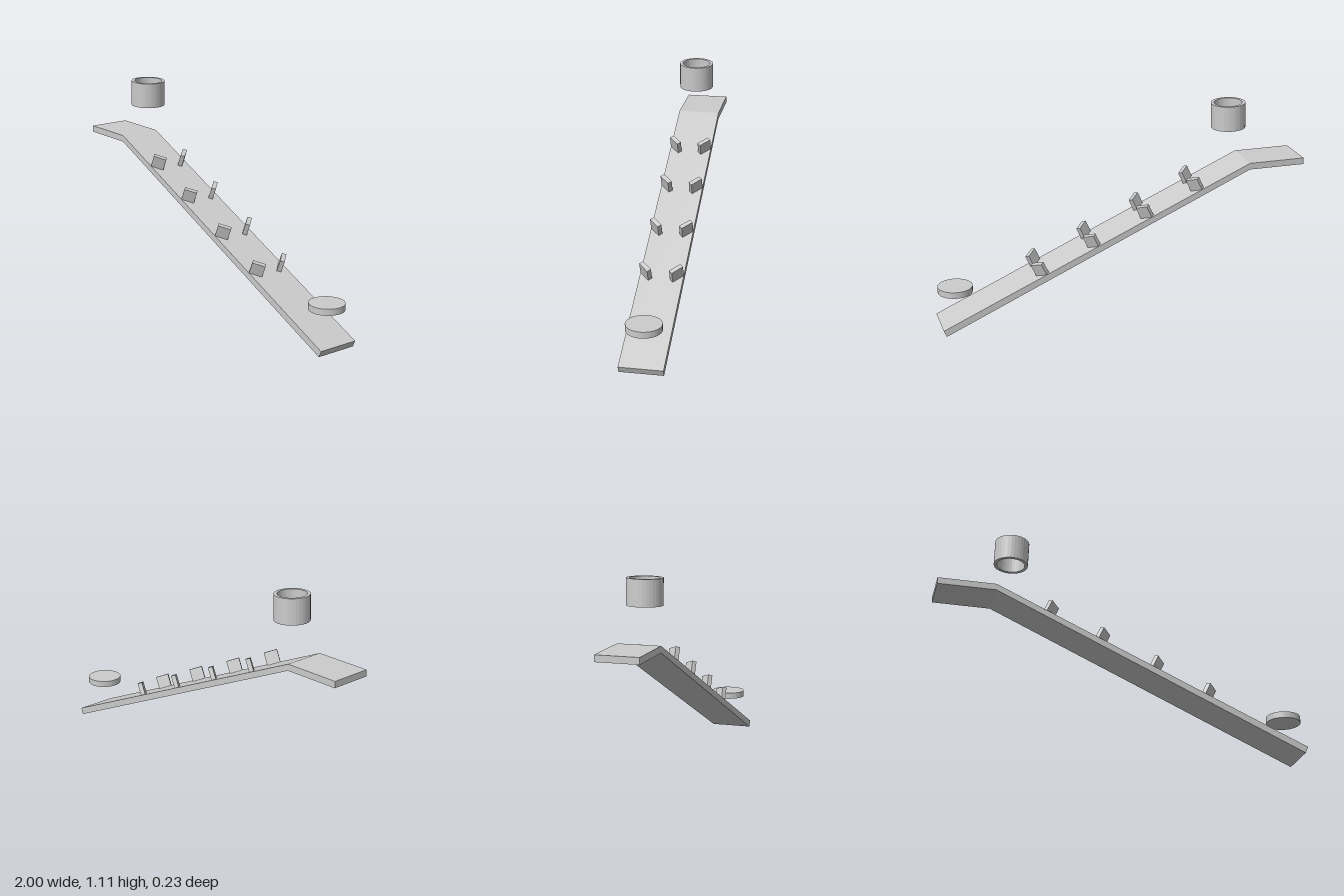
import * as THREE from 'three';

const material = new THREE.MeshStandardMaterial({ color: 0xcccccc, flatShading: true });
const WIDTH = 0.226;

function add(parent, name, geometry, x = 0, y = 0, z = 0) {
  const mesh = new THREE.Mesh(geometry, material);
  mesh.name = name;
  mesh.position.set(x, y, z);
  parent.add(mesh);
  return mesh;
}

// Extrudes a side profile across the width, centred on z = 0
function slab(points) {
  const shape = new THREE.Shape(points.map(([x, y]) => new THREE.Vector2(x, y)));
  return new THREE.ExtrudeGeometry(shape, { depth: WIDTH, bevelEnabled: false })
    .translate(0, 0, -WIDTH / 2);
}

export function createModel() {
  const group = new THREE.Group();
  group.name = 'obstacleRamp';

  // Level landing and the slope running down from it
  const crest = new THREE.Vector2(-0.69, 0.79);
  const foot = new THREE.Vector2(0.996, 0.034);
  add(group, 'landing', slab([[-1, 0.755], [-0.69, 0.755], [-0.69, 0.79], [-1, 0.79]]));
  add(group, 'slope', slab([[-0.69, 0.755], [0.981, 0], [foot.x, foot.y], [crest.x, crest.y]]));

  // Mirrored pairs of angled deflectors standing on the slope
  const angle = Math.atan2(foot.y - crest.y, foot.x - crest.x);
  const height = 0.068;
  const deflectors = new THREE.Group();
  deflectors.name = 'deflectors';
  deflectors.position.set(crest.x, crest.y, 0);
  deflectors.rotation.z = angle;
  group.add(deflectors);
  for (const x of [-0.404, -0.124, 0.17, 0.454]) {
    const along = (x - crest.x) / Math.cos(angle);
    for (const side of [1, -1]) {
      const block = add(deflectors, side > 0 ? 'frontDeflector' : 'backDeflector',
        new THREE.BoxGeometry(0.07, height, 0.024), along, height / 2, side * 0.08);
      block.rotation.y = side * Math.PI / 4;
    }
  }

  // Open tube hovering over the top of the slope, leaning slightly downhill
  const ring = [[0.075, -0.068], [0.092, -0.068], [0.092, 0.068], [0.075, 0.068], [0.075, -0.068]]
    .map(([r, y]) => new THREE.Vector2(r, y));
  const tube = add(group, 'tube', new THREE.LatheGeometry(ring, 32), -0.6, 1.038, 0);
  tube.rotation.z = -0.03;

  // Flat disc hovering over the foot of the slope
  add(group, 'disc', new THREE.CylinderGeometry(0.092, 0.092, 0.034, 32), 0.907, 0.218, 0);

  return group;
}
